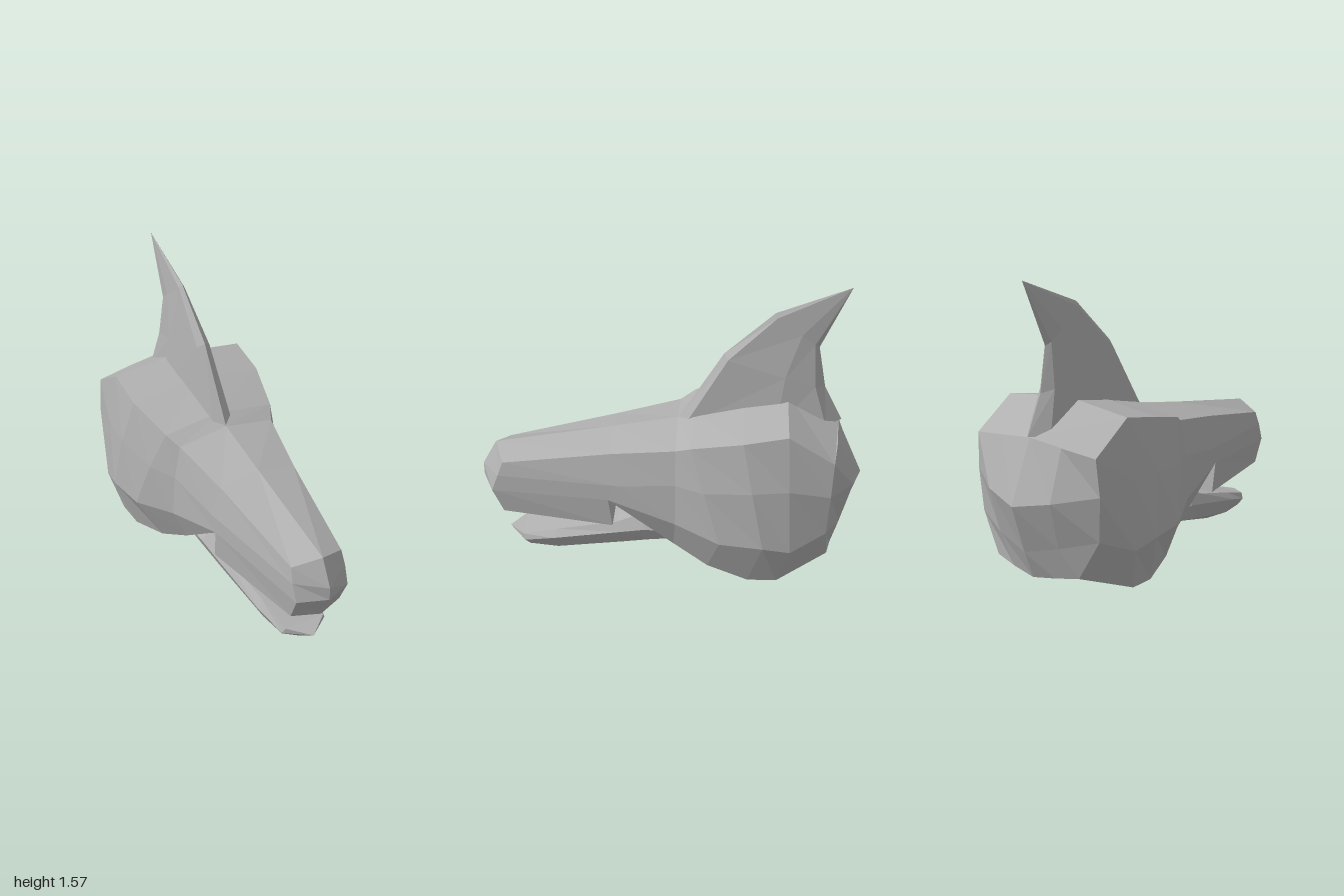
import * as THREE from 'three';

const grey = new THREE.MeshStandardMaterial({ color: 0xb0b0b0, flatShading: true });
grey.name = 'grey';

// Skins a list of half rings, each running from one centre point round the +x side
// to the other centre point. Every ring is mirrored to -x first.
function loft(name, halfRings) {
  const rings = halfRings.map((half) => [
    ...half,
    ...half.slice(1, -1).reverse().map(([x, y, z]) => [-x, y, z]),
  ]);
  const positions = [];
  const same = (p, q) => p.every((v, i) => Math.abs(v - q[i]) < 1e-5);
  const addTriangle = (a, b, c) => {
    if (!same(a, b) && !same(b, c) && !same(a, c)) positions.push(...a, ...b, ...c);
  };
  for (let r = 0; r < rings.length - 1; r++) {
    const n = rings[r].length;
    for (let i = 0; i < n; i++) {
      const j = (i + 1) % n;
      const a = rings[r][i], b = rings[r][j], c = rings[r + 1][j], d = rings[r + 1][i];
      addTriangle(a, b, c);
      addTriangle(a, c, d);
    }
  }
  const geometry = new THREE.BufferGeometry();
  geometry.setAttribute('position', new THREE.Float32BufferAttribute(positions, 3));
  geometry.computeVertexNormals();
  const mesh = new THREE.Mesh(geometry, grey);
  mesh.name = name;
  return mesh;
}

const mix = (p, q, t) => p.map((v, i) => v + (q[i] - v) * t);
const point = (p, count) => Array(count).fill(p);
const centre = ([, y, z], dy, dz = 0) => [0, y + dy, z + dz];

// Head ring from its top edge, widest side point and bottom edge;
// the roof rises to the centre, the underside drops to it, the cheek bulges a little
function headRing(edge, side, low, drop, dz = 0) {
  const cheek = mix(edge, side, 0.45);
  cheek[0] *= 1.04;
  return [centre(edge, 0.045, dz), edge, cheek, side, low, centre(low, -drop, dz)];
}

// Closes a head ring towards two points on the centre line, with a rounded depth
function closeRing(ring, t, upper, lower) {
  const targets = [ring[0], ring[0], [0, ...upper], [0, ...lower], ring[5], ring[5]];
  return ring.map((p, i) => {
    const [x, y] = mix(p, targets[i], t);
    return [x, y, p[2] + (targets[i][2] - p[2]) * Math.sin(t * Math.PI / 2)];
  });
}

// Skull and upper snout
function makeHead() {
  const nose = headRing([.14, .6, .87], [.145, .43, .935], [.14, .3, .88], 0, .055);
  const snoutEnd = headRing([.21, .715, .3], [.25, .46, .31], [.245, .3, .29], 0);
  snoutEnd[2] = [.255, .55, .26];
  // step up to the corner of the mouth
  const mouthCorner = [...snoutEnd.slice(0, 4), snoutEnd[3], centre(snoutEnd[3], 0)];
  const back = headRing([.37, .79, -.83], [.37, .38, -.81], [.26, .18, -.83], .045, -.035);
  const closeBack = (t) => closeRing(back, t, [.53, -1], [.28, -.92]);
  return loft('head', [
    closeRing(nose, 1, [.51, 1], [.44, 1]),
    nose,
    snoutEnd,
    mouthCorner,
    headRing([.27, .78, -.04], [.32, .37, -.04], [.25, .2, -.03], 0),
    headRing([.31, .82, -.12], [.43, .33, -.27], [.31, .11, -.21], .04),
    headRing([.37, .89, -.38], [.46, .33, -.49], [.37, .07, -.42], .04),
    headRing([.37, .935, -.6], [.44, .3, -.63], [.38, .08, -.57], .05),
    back,
    closeBack(0.5),
    closeBack(1),
  ]);
}

// Lower jaw with a flat top and a keel below
function makeJaw() {
  const jawRing = (rim, side, low) => [centre(rim, 0), rim, side, low, centre(low, -0.065)];
  return loft('lowerJaw', [
    point([0, .11, .88], 5),
    jawRing([.11, .13, .79], [.125, .1, .78], [.11, .07, .755]),
    jawRing([.14, .19, .6], [.17, .15, .62], [.13, .07, .6]),
    jawRing([.19, .285, .27], [.22, .24, .25], [.18, .15, .25]),
    jawRing([.19, .34, .15], [.235, .27, .12], [.2, .185, .1]),
    jawRing([.19, .3, -.1], [.23, .25, -.08], [.21, .205, -.03]),
    point([0, .25, -.13], 5),
  ]);
}

// Swept crest: each ring runs from the front ridge to the back ridge
function makeCrest() {
  const crestRing = (front, back, width) => {
    const along = (x, t, dy) => {
      const [y, z] = mix(front, back, t);
      return [x * width, y + dy, z];
    };
    return [along(0, 0, 0), along(.6, .04, -.015), along(1, .6, 0), along(.75, .9, 0), along(0, 1, 0)];
  };
  return loft('crest', [
    crestRing([.82, -.04], [.84, -.88], .095),
    crestRing([1.2, -.27], [1.03, -.785], .06),
    crestRing([1.43, -.52], [1.25, -.745], .026),
    point([0, 1.575, -.89], 5),
  ]);
}

export function createModel() {
  const model = new THREE.Group();
  model.name = 'crestedHead';
  model.add(makeHead(), makeJaw(), makeCrest());
  return model;
}
